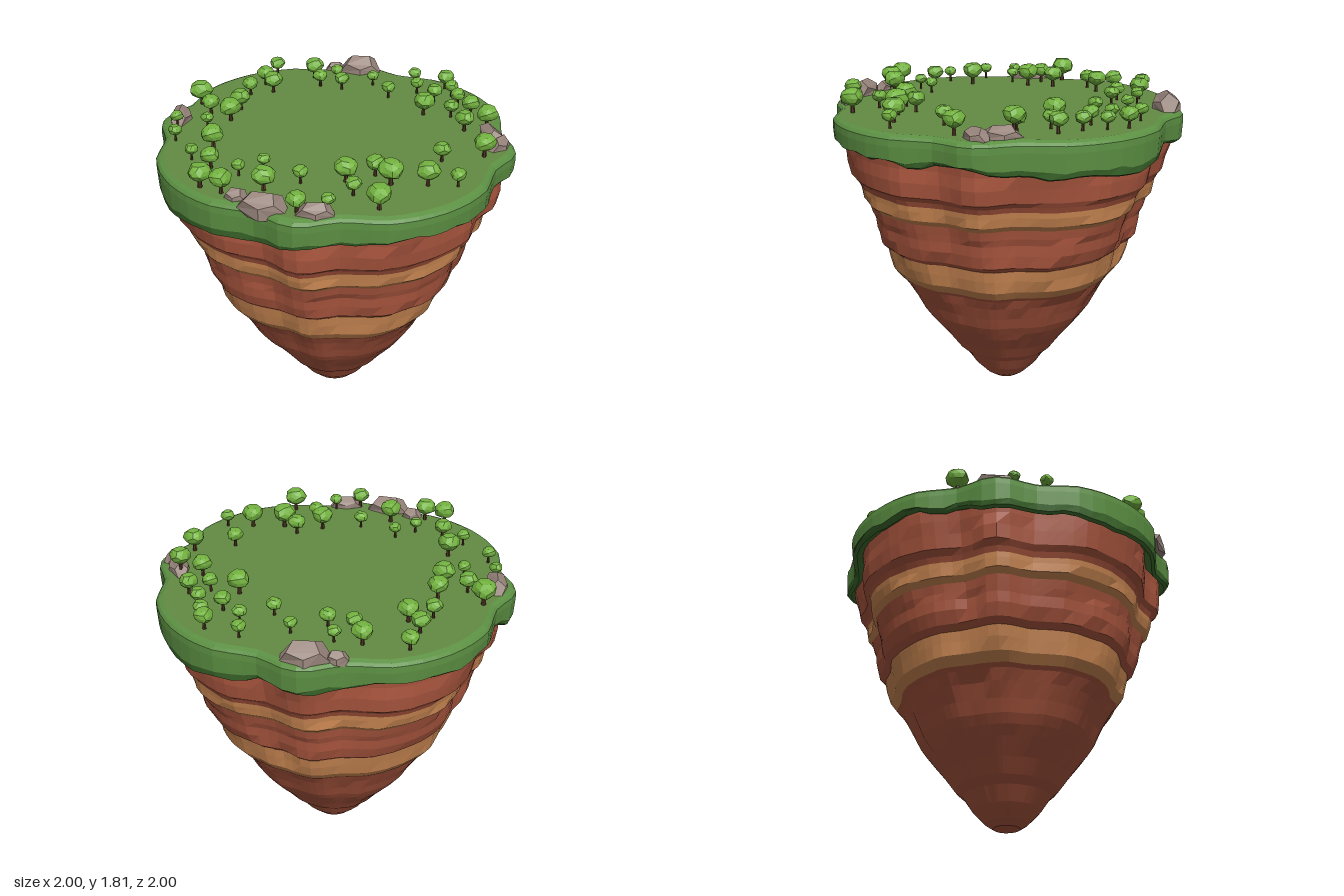
import * as THREE from 'three';

const mat = (name, color, extra = {}) => {
  const m = new THREE.MeshStandardMaterial({ color, flatShading: true, ...extra });
  m.name = name;
  return m;
};
const SEGS = 80;
const GROUND = 1.66;

// Repeatable noise in -1..1
const noise = (a, b = 0, c = 0) => {
  const s = Math.sin(a * 12.9898 + b * 78.233 + c * 37.719) * 43758.5453;
  return 2 * (s - Math.floor(s)) - 1;
};

// Linear lookup in a list of [key, value] pairs
function lookup(table, k) {
  for (let i = 1; i < table.length; i++) {
    const [k0, v0] = table[i - 1], [k1, v1] = table[i];
    if (k <= k1) return v0 + (v1 - v0) * (k - k0) / (k1 - k0);
  }
  return table[table.length - 1][1];
}

// Plan outline: four wide lobes on the axes, four small ones on the diagonals
const LOBE = [[0, 1], [10, 0.994], [18, 0.98], [25, 0.945], [30, 0.925], [34, 0.93], [40, 0.975], [45, 0.99]];
function outline(theta) {
  const d = ((theta * 180 / Math.PI) % 90 + 90) % 90;
  return lookup(LOBE, Math.min(d, 90 - d));
}

// Closed surface through rings; each row gives [radius, y] for an angle and column
function loft(rows) {
  const pos = [], index = [];
  rows.forEach(row => {
    for (let j = 0; j < SEGS; j++) {
      const t = j / SEGS * Math.PI * 2, [r, y] = row(t, j);
      pos.push(r * Math.cos(t), y, r * Math.sin(t));
    }
  });
  for (let i = 0; i < rows.length - 1; i++) {
    for (let j = 0; j < SEGS; j++) {
      const a = i * SEGS + j, b = i * SEGS + (j + 1) % SEGS, c = a + SEGS, d = b + SEGS;
      index.push(a, c, b, b, c, d);
    }
  }
  const g = new THREE.BufferGeometry();
  g.setAttribute('position', new THREE.Float32BufferAttribute(pos, 3));
  g.setIndex(index);
  g.computeVertexNormals();
  return g;
}

// Rock ring: lobes grow stronger towards the top, with a little roughness
const rockRow = (r, y) => (t, j) => {
  const k = Math.min(1, y / 1.2);
  const rough = 1 + 0.009 * noise(Math.floor(j / 2), Math.round(y * 8)) + 0.008 * Math.sin(5 * t + y * 7);
  return [r * (1 + (outline(t) - 1) * k) * rough, y];
};

// Roughen a polyhedron so shared corners stay together
function roughen(g, amount) {
  const p = g.attributes.position, v = new THREE.Vector3();
  for (let i = 0; i < p.count; i++) {
    v.fromBufferAttribute(p, i);
    const q = [v.x, v.y, v.z].map(n => Math.round(n * 100) / 100 + 0);
    v.multiplyScalar(1 + amount * noise(...q));
    p.setXYZ(i, v.x, v.y, v.z);
  }
  g.computeVertexNormals();
  return g;
}

export function createModel() {
  const model = new THREE.Group();
  const clay = mat('red clay', 0xac573f), sand = mat('sandstone', 0xca8752);
  const grass = mat('grass', 0x648c44), turf = mat('turf side', 0x5c9043), fringe = mat('dark turf', 0x40702f);
  const stone = mat('stone', 0x97847b), bark = mat('bark', 0x4e3422), leaf = mat('leaf', 0x74b440);
  const add = (name, geo, material, parent = model) => {
    const m = new THREE.Mesh(geo, material);
    m.name = name;
    parent.add(m);
    return m;
  };

  // Layered rock cone, from the tip up
  const layers = [
    ['lowerRock', clay, [[0, 0], [0.075, 0], [0.12, 0.03], [0.19, 0.1], [0.245, 0.18], [0.29, 0.22], [0.35, 0.3],
      [0.425, 0.39], [0.465, 0.44], [0.5, 0.49], [0.535, 0.56], [0.58, 0.64], [0.62, 0.7], [0.64, 0.72]]],
    ['lowerBand', sand, [[0.64, 0.72], [0.68, 0.77], [0.7, 0.84], [0.715, 0.9]]],
    ['middleRock', clay, [[0.715, 0.9], [0.75, 0.93], [0.775, 1.0], [0.785, 1.06], [0.8, 1.1], [0.815, 1.15]]],
    ['upperBand', sand, [[0.815, 1.15], [0.845, 1.18], [0.855, 1.23], [0.86, 1.26]]],
    ['upperRock', clay, [[0.86, 1.26], [0.875, 1.29], [0.905, 1.32], [0.92, 1.4], [0.93, 1.47], [0.94, 1.53], [0.94, 1.6]]],
  ];
  for (const [name, material, rows] of layers) add(name, loft(rows.map(([r, y]) => rockRow(r, y))), material);

  // Grass cap: ragged dark fringe, rounded turf side, flat top
  const hem = (t, j) => 1.52 - 0.065 * Math.cos(t) ** 2 + 0.014 * Math.sin(9 * t) + 0.017 * noise(Math.floor(j / 2), 3);
  const side = (r, y) => t => [r * outline(t), y];
  const seam = (t, j) => [0.995 * outline(t), hem(t, j) * 0.5 + 0.775 + 0.01 * noise(j, 9)];
  add('grassFringe', loft([
    side(0.9, 1.55), (t, j) => [0.965 * outline(t), hem(t, j)], (t, j) => [0.985 * outline(t), hem(t, j) + 0.01], seam,
  ]), fringe);
  add('grassSide', loft([seam, side(1, 1.6), side(0.998, 1.635), side(0.985, 1.65), side(0.96, GROUND)]), turf);
  add('grassTop', loft([side(0.96, GROUND), side(0, GROUND)]), grass);

  // Boulders on the diagonal corners: x, z, half sizes, turn
  const boulder = roughen(new THREE.DodecahedronGeometry(1), 0.14);
  const boulders = [
    [-0.62, -0.63, 0.12, 0.06, 0.065, 0.9], [0.62, -0.65, 0.13, 0.09, 0.085, -0.65], [0.5, -0.75, 0.06, 0.045, 0.04, -0.6],
    [-0.74, 0.5, 0.13, 0.08, 0.08, -0.85], [-0.8, 0.34, 0.06, 0.05, 0.05, -0.9], [-0.56, 0.69, 0.1, 0.06, 0.055, -0.6],
    [0.68, 0.51, 0.12, 0.06, 0.06, 1.2], [0.64, 0.63, 0.08, 0.06, 0.05, 0.2],
  ];
  for (const [x, z, sx, sy, sz, turn] of boulders) {
    const b = add('boulder', boulder, stone);
    b.position.set(x, GROUND, z);
    b.scale.set(sx, sy, sz);
    b.rotation.y = turn;
  }

  // Ring of trees around the clearing: x, z, crown radius
  const trees = [
    0.16, -0.88, 0.045, 0.02, -0.78, 0.05, 0, -0.66, 0.055, -0.13, -0.7, 0.045, -0.43, -0.74, 0.065, -0.45, -0.59, 0.05,
    -0.28, -0.55, 0.055, -0.4, -0.45, 0.06, -0.55, -0.44, 0.035, -0.68, -0.55, 0.035, -0.77, -0.39, 0.037, -0.64, -0.2, 0.06,
    -0.8, -0.14, 0.036, -0.76, 0, 0.05, -0.9, 0.15, 0.06, -0.68, 0.15, 0.035, -0.54, 0.16, 0.035, -0.84, 0.26, 0.058,
    -0.65, 0.35, 0.06, -0.46, 0.39, 0.04, -0.26, 0.5, 0.06, -0.1, 0.53, 0.05, -0.09, 0.65, 0.065, -0.31, 0.64, 0.042,
    -0.63, 0.63, 0.05, -0.49, 0.69, 0.036, -0.28, 0.82, 0.062, 0.06, 0.76, 0.06, 0.18, 0.85, 0.04, 0.28, 0.59, 0.046,
    0.5, 0.67, 0.058, 0.61, 0.37, 0.052, 0.7, 0.45, 0.057, 0.66, 0.19, 0.042, 0.77, 0.23, 0.05, 0.55, 0.08, 0.06,
    0.79, 0.09, 0.043, 0.71, -0.03, 0.045, 0.84, -0.03, 0.04, 0.88, -0.14, 0.05, 0.7, -0.18, 0.038, 0.78, -0.31, 0.038,
    0.52, -0.22, 0.04, 0.55, -0.42, 0.035, 0.36, -0.47, 0.043, 0.28, -0.58, 0.043, 0.32, -0.71, 0.055, 0.42, -0.61, 0.036,
  ];
  const crownGeo = roughen(new THREE.IcosahedronGeometry(1, 1), 0.1);
  const trunkGeo = new THREE.CylinderGeometry(0.14, 0.2, 1, 6).translate(0, 0.5, 0);
  for (let i = 0; i < trees.length; i += 3) {
    const [x, z, r] = trees.slice(i, i + 3);
    const tree = new THREE.Group();
    tree.name = 'tree';
    // The tree at the front left corner grows on a boulder
    const lift = x === 0.7 && z === 0.45 ? 0.03 : 0;
    tree.position.set(x, GROUND + lift, z);
    tree.rotation.y = i;
    add('trunk', trunkGeo, bark, tree).scale.set(r, 0.03 + 0.8 * r, r);
    const crown = add('crown', crownGeo, leaf, tree);
    crown.position.y = 0.03 + 0.9 * r;
    crown.scale.set(r, 0.8 * r, r);
    model.add(tree);
  }
  return model;
}
